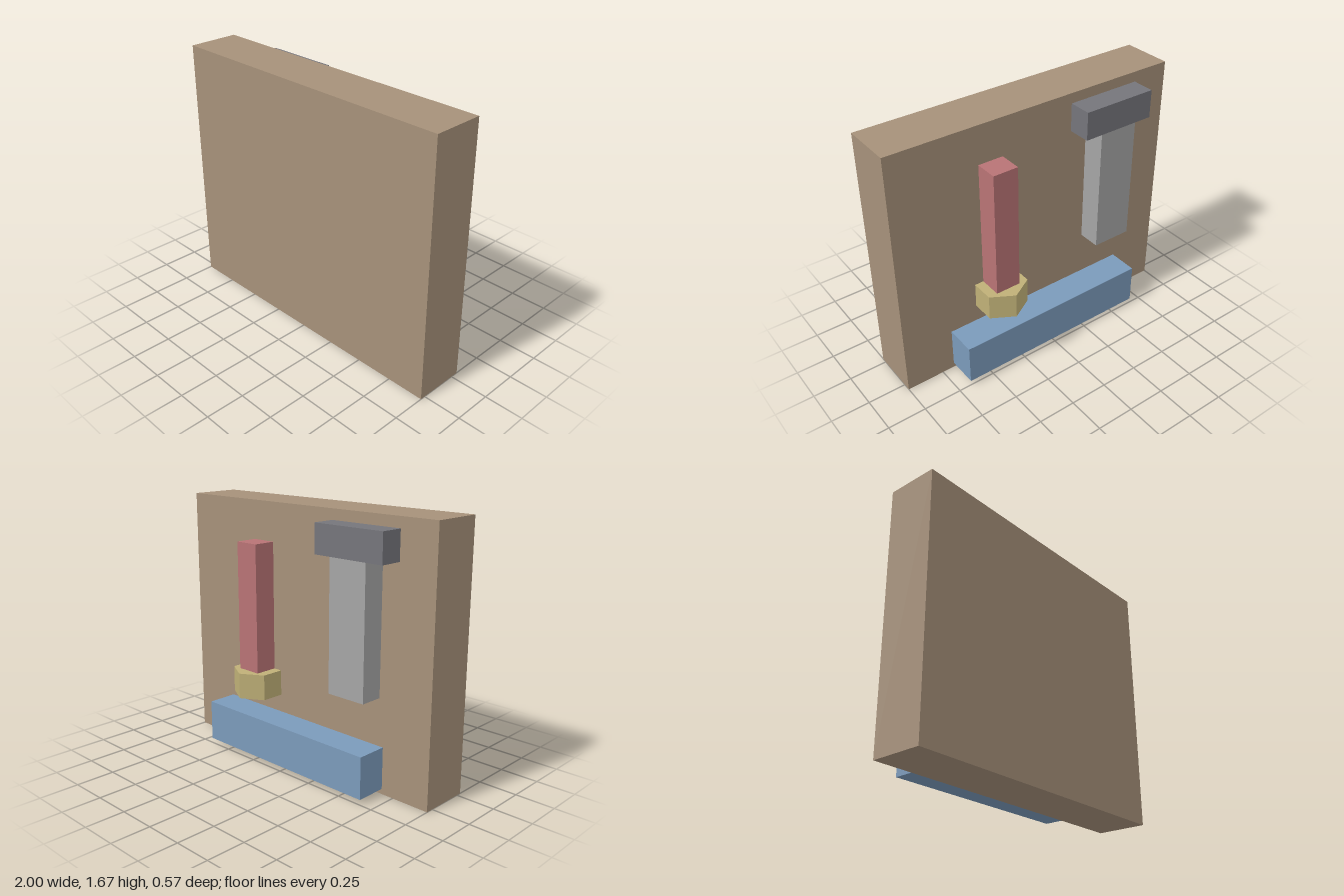
import * as THREE from 'three';

const paint = (name, color) => {
  const m = new THREE.MeshStandardMaterial({ color });
  m.name = name;
  return m;
};

export function createModel() {
  const model = new THREE.Group();
  model.name = 'toolBoard';

  const wood = paint('wood brown', 0xa6917a);
  const blue = paint('tray blue', 0x7b9aba);
  const red = paint('grip red', 0xb87375);
  const brass = paint('brass yellow', 0xbfb077);
  const iron = paint('dark iron', 0x75757b);
  const steel = paint('light grey', 0xa5a5a5);

  // Box given by its lower and upper limits on each axis
  const block = (name, material, [x0, x1], [y0, y1], [z0, z1]) => {
    const mesh = new THREE.Mesh(new THREE.BoxGeometry(x1 - x0, y1 - y0, z1 - z0), material);
    mesh.position.set((x0 + x1) / 2, (y0 + y1) / 2, (z0 + z1) / 2);
    mesh.name = name;
    model.add(mesh);
  };

  // Backing board and the ledge along its lower edge
  block('board', wood, [-1, 1], [0, 1.667], [-0.05, 0.283]);
  block('ledge', blue, [-0.667, 0.667], [0.033, 0.3], [-0.25, -0.04]);

  // Hammer
  block('hammerHead', iron, [-0.75, -0.25], [1.417, 1.6], [-0.2, -0.04]);
  block('hammerHandle', steel, [-0.633, -0.367], [0.6, 1.425], [-0.199, -0.04]);

  // Square shaft standing on a hexagonal collar
  block('shaft', red, [0.25, 0.417], [0.583, 1.417], [-0.2, -0.033]);
  const collarShape = new THREE.CylinderGeometry(0.1667, 0.1667, 0.1667, 6);
  const collar = new THREE.Mesh(collarShape.toNonIndexed(), brass);
  collar.geometry.computeVertexNormals();
  collar.position.set(0.333, 0.5, -0.1167);
  collar.name = 'hexCollar';
  model.add(collar);

  return model;
}
